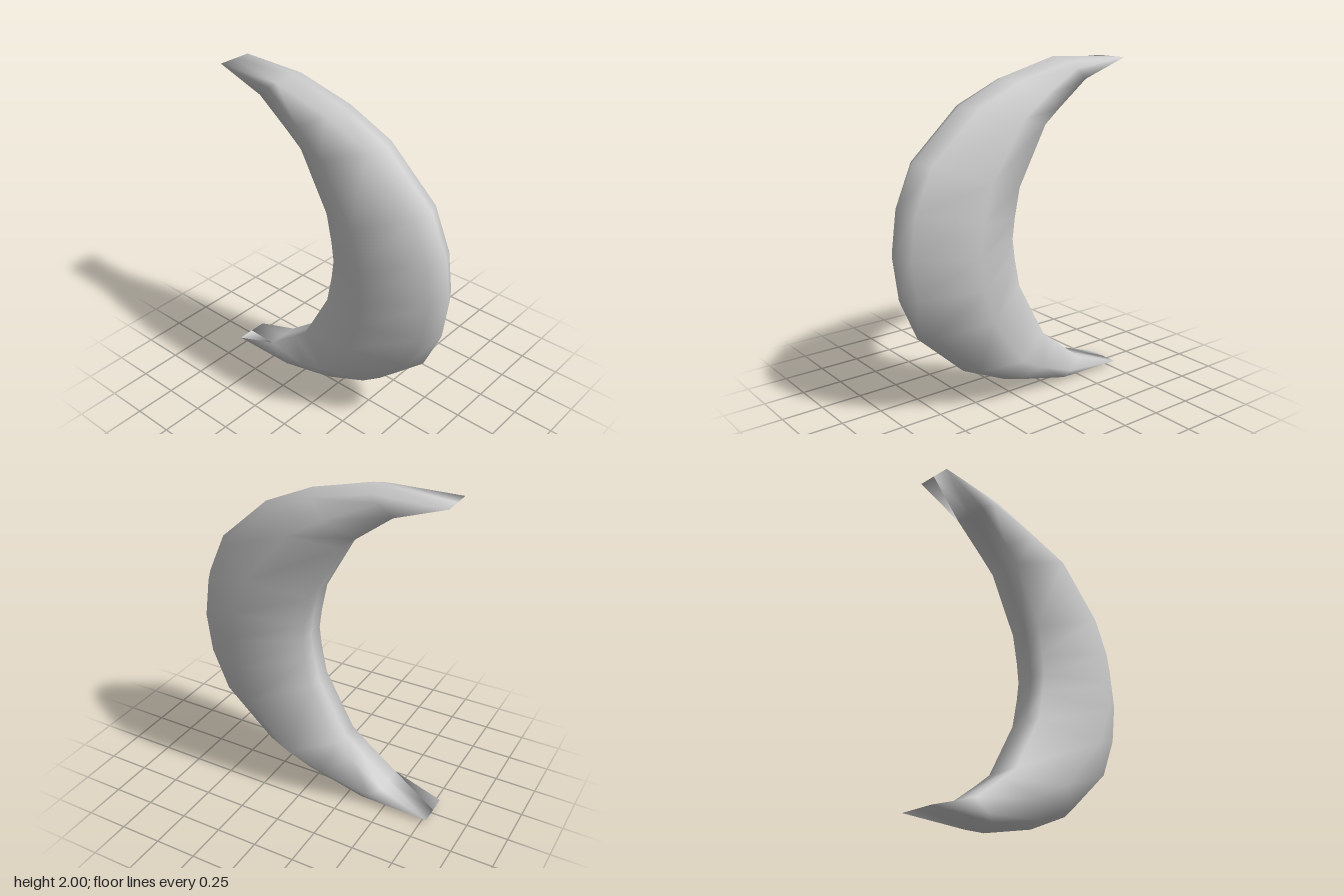
import * as THREE from 'three';
import { mergeVertices } from 'three/addons/utils/BufferGeometryUtils.js';

// Sections from the middle to the upper tip:
// outer z, y, inner z, y, half width, half width of the ridge, inset of the ridge
const HALF = [
  [0.783, 1.0, 0.05, 1.0, 0.3, 0.1, 0.08],
  [0.75, 1.247, 0.035, 1.12, 0.3, 0.1, 0.08],
  [0.64, 1.497, 0.0, 1.293, 0.28, 0.1, 0.08],
  [0.335, 1.773, -0.185, 1.633, 0.237, 0.1, 0.1],
  [0.04, 1.907, -0.285, 1.715, 0.187, 0.1, 0.12],
  [-0.32, 2.0, -0.485, 1.868, 0.115, 0.1, 0.22],
  [-0.783, 1.975, -0.783, 1.975, 0.105, 0.105, 0.5],
];

// Cross-section from front to +x to back to -x: ridged in front, flat at the back
function ring([oz, oy, iz, iy, w, r, f]) {
  const outline = [
    [0, 0], [r, f], [w, 0.5], [r, 1],
    [0, 1], [-r, 1], [-w, 0.5], [-r, f],
  ];
  return outline.map(([x, t]) => [x, oy + (iy - oy) * t, oz + (iz - oz) * t]);
}

export function createModel() {
  const group = new THREE.Group();
  group.name = 'crescent';

  // Mirror the upper half to get the full row of sections, bottom to top
  const lower = HALF.slice(1).reverse()
    .map(([oz, oy, iz, iy, ...rest]) => [oz, 2 - oy, iz, 2 - iy, ...rest]);
  const rings = [...lower, ...HALF].map(ring);

  // Skin the sections, the ends closing to chisel edges
  const index = [];
  const n = 8;
  for (let i = 0; i < rings.length - 1; i++) {
    for (let j = 0; j < n; j++) {
      const a = i * n + j;
      const b = i * n + ((j + 1) % n);
      index.push(a, b, b + n, a, b + n, a + n);
    }
  }
  const skin = new THREE.BufferGeometry();
  skin.setAttribute('position', new THREE.Float32BufferAttribute(rings.flat(2), 3));
  skin.setIndex(index);

  // Weld the chisel edges so the shading runs smoothly around them
  const geometry = mergeVertices(skin);
  geometry.computeVertexNormals();

  const body = new THREE.Mesh(geometry, new THREE.MeshStandardMaterial({ color: 0xcccccc }));
  body.name = 'crescentBody';
  group.add(body);
  return group;
}
